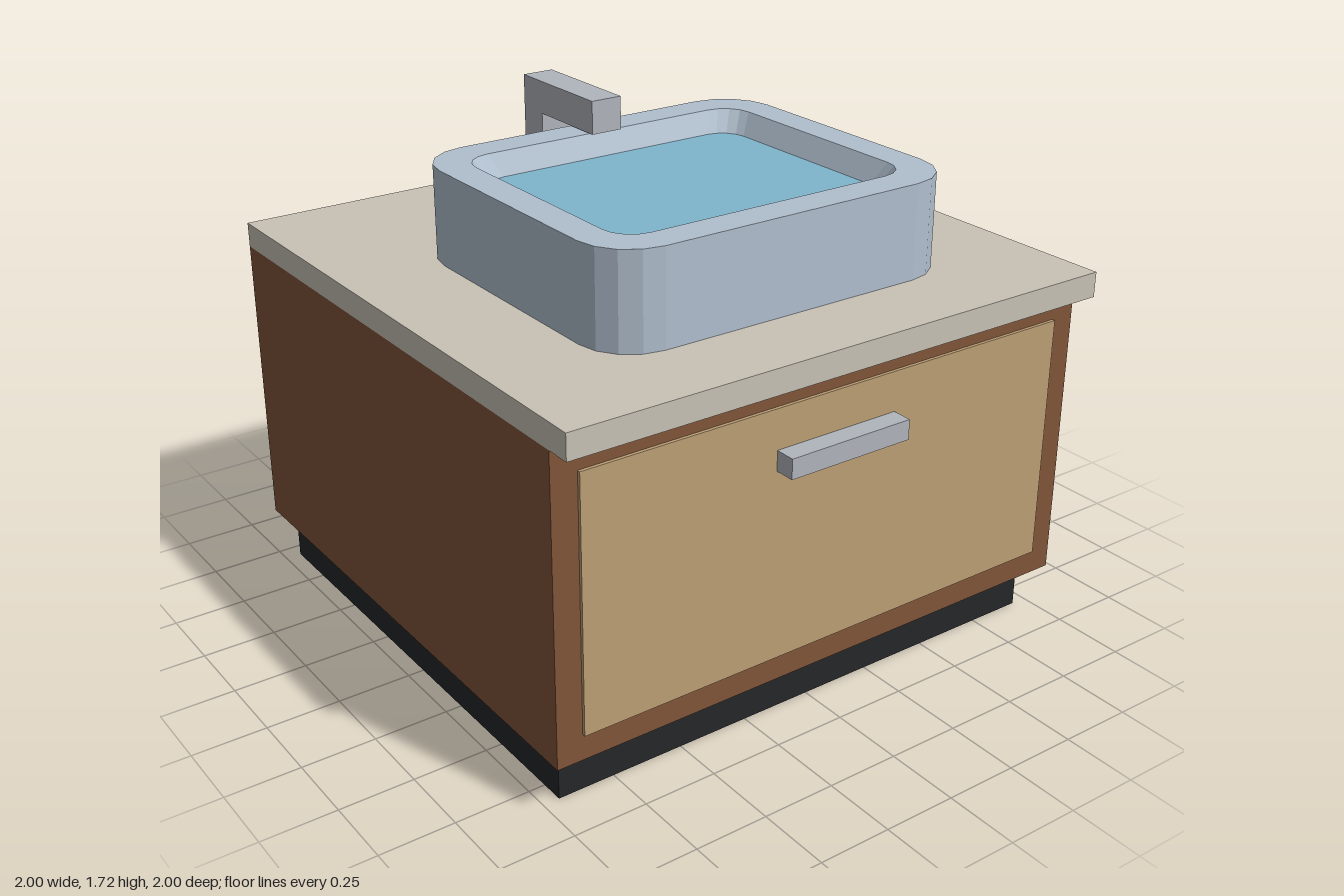
import * as THREE from 'three';

const mat = (color) => new THREE.MeshStandardMaterial({ color });
const wood = mat(0x80553a), panel = mat(0xbd9f76), stone = mat(0xc8c2b6);
const dark = mat(0x242628), metal = mat(0xb0b4bc), water = mat(0x80b6cc);
const ceramic = new THREE.MeshStandardMaterial({ color: 0xb0bfce, flatShading: true });

// Box given by its limits on each axis
function box(name, material, [x0, x1], [y0, y1], [z0, z1]) {
  const mesh = new THREE.Mesh(new THREE.BoxGeometry(x1 - x0, y1 - y0, z1 - z0), material);
  mesh.name = name;
  mesh.position.set((x0 + x1) / 2, (y0 + y1) / 2, (z0 + z1) / 2);
  return mesh;
}

// Rounded rectangle as a loop of points, four facets per corner
function ring(halfX, halfZ, r, y) {
  const points = [];
  for (let c = 0; c < 4; c++) {
    const sx = c === 0 || c === 3 ? 1 : -1;
    const sz = c < 2 ? 1 : -1;
    for (let i = 0; i <= 4; i++) {
      const a = (c + i / 4) * Math.PI / 2;
      points.push([sx * (halfX - r) + r * Math.cos(a), y, sz * (halfZ - r) + r * Math.sin(a)]);
    }
  }
  return points;
}

// Skin between successive rings, with an optional cap over the last one
function loft(rings, cap) {
  const n = rings[0].length;
  const index = [];
  for (let k = 0; k < rings.length - 1; k++) {
    for (let i = 0; i < n; i++) {
      const a = k * n + i, b = k * n + (i + 1) % n;
      index.push(a, a + n, b, b, a + n, b + n);
    }
  }
  if (cap) {
    const base = (rings.length - 1) * n;
    for (let i = 1; i < n - 1; i++) index.push(base, base + i + 1, base + i);
  }
  const geometry = new THREE.BufferGeometry();
  geometry.setAttribute('position', new THREE.Float32BufferAttribute(rings.flat(2), 3));
  geometry.setIndex(index);
  const flat = geometry.toNonIndexed();
  flat.computeVertexNormals();
  return flat;
}

export function createModel() {
  const group = new THREE.Group();
  group.name = 'washstand';

  // Cabinet
  group.add(
    box('plinth', dark, [-0.945, 0.945], [0, 0.175], [-0.94, 0.83]),
    box('cabinet', wood, [-1, 1], [0.175, 1.2], [-1, 0.915]),
    box('drawerFront', panel, [-0.912, 0.912], [0.263, 1.115], [0.88, 0.926]),
    box('handle', metal, [-0.228, 0.228], [0.912, 0.98], [0.92, 0.995]),
    box('countertop', stone, [-1, 1], [1.2, 1.285], [-1, 1])
  );

  // Basin: outer wall, flat rim and sloping inner wall
  const basin = new THREE.Group();
  basin.name = 'basin';
  basin.position.z = 0.142;
  const inner = ring(0.5, 0.415, 0.09, 1.53);
  const bowl = new THREE.Mesh(loft([
    ring(0.656, 0.572, 0.18, 1.285),
    ring(0.656, 0.572, 0.18, 1.602),
    ring(0.545, 0.457, 0.1, 1.602),
    inner
  ], false), ceramic);
  bowl.name = 'bowl';
  const surface = new THREE.Mesh(loft([inner], true), water);
  surface.name = 'water';
  basin.add(bowl, surface);
  group.add(basin);

  // Faucet
  const faucet = new THREE.Group();
  faucet.name = 'faucet';
  faucet.add(
    box('faucetPost', metal, [-0.057, 0.057], [1.285, 1.606], [-0.714, -0.6]),
    box('faucetSpout', metal, [-0.057, 0.057], [1.606, 1.72], [-0.714, -0.286])
  );
  group.add(faucet);
  return group;
}
